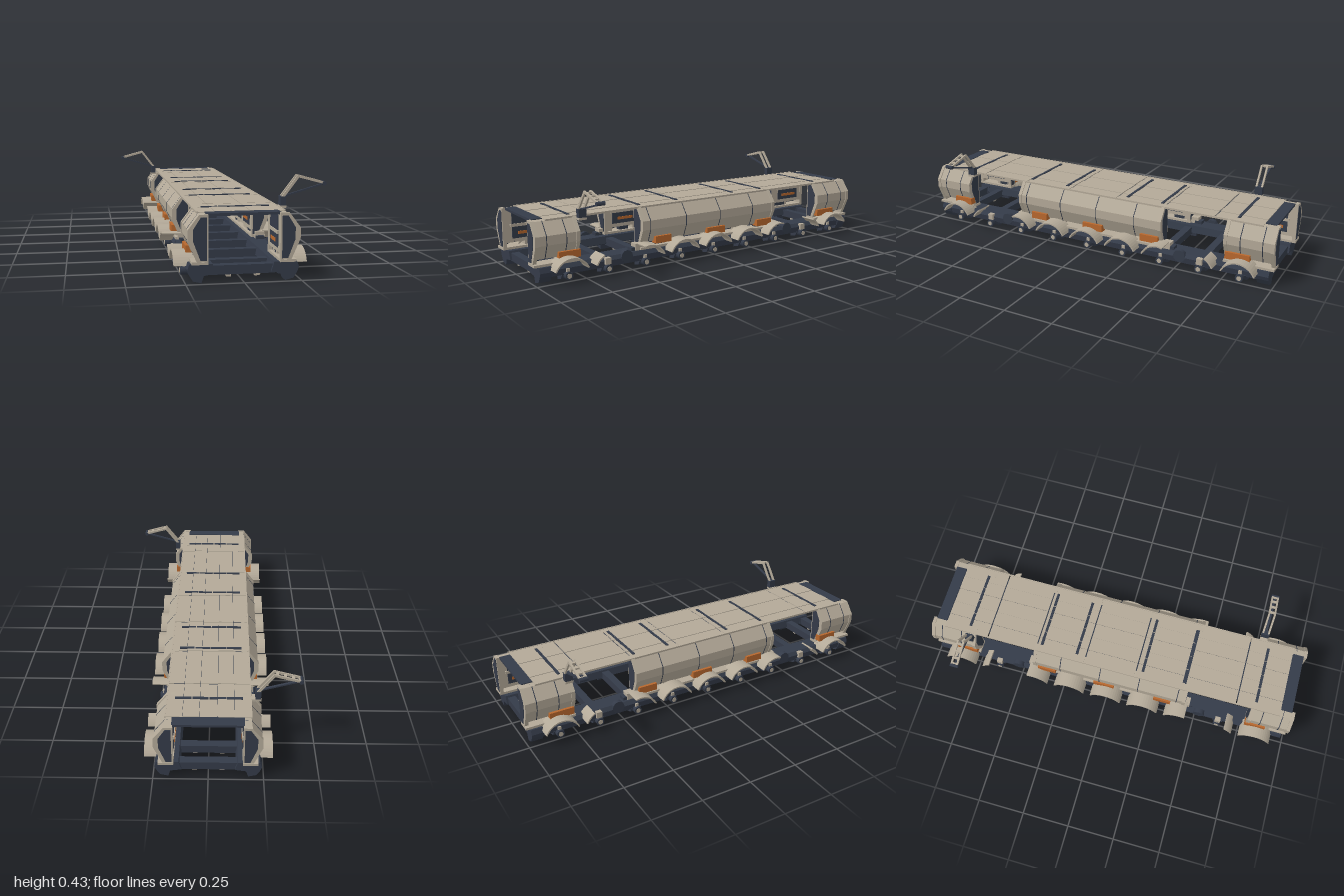
import * as THREE from 'three';

const mat = (name, color) => {
  const m = new THREE.MeshStandardMaterial({ color });
  m.name = name;
  return m;
};

export function createModel() {
  const tan = mat('tan plating', 0xb3a998);
  const dark = mat('dark steel', 0x343b49);
  const orange = mat('orange fittings', 0xb8682e);
  const root = new THREE.Group();
  root.name = 'longCarriage';

  const add = (name, geo, material, parent = root) => {
    const m = new THREE.Mesh(geo, material);
    m.name = name;
    parent.add(m);
    return m;
  };
  // Box from its min and max on each axis
  const box = (name, x0, x1, y0, y1, z0, z1, material, parent) => {
    const g = new THREE.BoxGeometry(Math.abs(x1 - x0), y1 - y0, z1 - z0);
    g.translate((x0 + x1) / 2, (y0 + y1) / 2, (z0 + z1) / 2);
    return add(name, g, material, parent);
  };
  // Outline in x/y, mirrored by s, extruded from z0 to z1
  const prism = (name, pts, s, z0, z1, material, parent) => {
    const shape = new THREE.Shape(pts.map(([x, y]) => new THREE.Vector2(x * s, y)));
    const g = new THREE.ExtrudeGeometry(shape, { depth: z1 - z0, bevelEnabled: false });
    g.translate(0, 0, z0);
    return add(name, g, material, parent);
  };
  // Cylinder along x
  const axle = (name, x, y, z, r, w, material, parent) => {
    const g = new THREE.CylinderGeometry(r, r, w, 12);
    g.rotateZ(Math.PI / 2);
    g.translate(x, y, z);
    return add(name, g, material, parent);
  };
  // Bar between two x/y points
  const strut = (name, a, b, thick, z, depth, material, parent) => {
    const dx = b[0] - a[0], dy = b[1] - a[1];
    const g = new THREE.BoxGeometry(Math.hypot(dx, dy), thick, depth);
    g.rotateZ(Math.atan2(dy, dx));
    g.translate((a[0] + b[0]) / 2, (a[1] + b[1]) / 2, z);
    return add(name, g, material, parent);
  };
  // Curved mudguard around a roller, spanning angles a0..a1
  const fender = (s, z, a0, a1, parent) => {
    const shape = new THREE.Shape();
    shape.absarc(0, 0, 0.095, a0, a1, false);
    shape.absarc(0, 0, 0.088, a1, a0, true);
    const g = new THREE.ExtrudeGeometry(shape, { depth: 0.093, bevelEnabled: false, curveSegments: 8 });
    g.rotateY(-Math.PI / 2);
    g.translate(s > 0 ? 0.293 : -0.2, 0.03, z);
    add('fender', g, tan, parent);
  };

  const podProfile = [[0.157, 0.296], [0.192, 0.294], [0.238, 0.232], [0.238, 0.187], [0.211, 0.12], [0.157, 0.12]];
  const ribProfile = [[0.155, 0.299], [0.194, 0.297], [0.242, 0.234], [0.242, 0.186], [0.203, 0.097], [0.155, 0.097]];
  const capProfile = [[0.162, 0.286], [0.187, 0.286], [0.219, 0.236], [0.219, 0.185], [0.188, 0.103], [0.162, 0.103]];
  const railProfile = [[0.133, 0.084], [0.222, 0.084], [0.236, 0.065], [0.23, 0.034], [0.155, 0.034], [0.125, 0.045]];
  const footProfile = [[0.133, 0.085], [0.233, 0.085], [0.242, 0.06], [0.235, 0.04], [0.218, 0.012], [0.181, 0.003], [0.171, 0.034], [0.12, 0.042]];
  const rollerZ = Array.from({ length: 9 }, (_, i) => (i - 4) * 0.21);
  const pods = [
    { z0: 0.77, z1: 1, seams: [0.84, 0.94] },
    { z0: -0.42, z1: 0.435, seams: [0.385, 0.17, -0.045, -0.265] },
    { z0: -1, z1: -0.745, seams: [-0.83, -0.94] },
  ];
  const orangeZ = [[0.77, 0.88], [0.26, 0.355], [-0.08, 0.035], [-0.4, -0.3], [-0.88, -0.755]];

  for (const s of [1, -1]) {
    const side = new THREE.Group();
    side.name = s > 0 ? 'leftSide' : 'rightSide';
    root.add(side);

    // Faceted side pods with end collars, seam ribs and dark end panels
    for (const { z0, z1, seams } of pods) {
      prism('sidePod', podProfile, s, z0 + 0.01, z1 - 0.01, tan, side);
      prism('podCollar', ribProfile, s, z0 + 0.002, z0 + 0.02, tan, side);
      prism('podCollar', ribProfile, s, z1 - 0.02, z1 - 0.002, tan, side);
      prism('endPanel', capProfile, s, z0, z0 + 0.004, dark, side);
      prism('endPanel', capProfile, s, z1 - 0.004, z1, dark, side);
      const thin = podProfile.map(([x, y]) => [x + (x > 0.2 ? 0.001 : 0), y]);
      for (const z of seams) prism('podSeam', thin, s, z - 0.002, z + 0.002, dark, side);
      box('podSill', s * 0.155, s * 0.225, 0.086, 0.098, z0, z1, tan, side);
      // Inner wall lining
      const n = Math.max(1, Math.round((z1 - z0) / 0.21));
      const w = (z1 - z0 - 0.04) / n;
      for (let i = 0; i < n; i++) {
        const a = z0 + 0.02 + i * w;
        box('innerPanel', s * 0.153, s * 0.158, 0.14, 0.28, a + 0.03, a + w - 0.03, dark, side);
        box('innerShelf', s * 0.149, s * 0.158, 0.2, 0.215, a + 0.02, a + w - 0.02, tan, side);
        box('innerFitting', s * 0.15, s * 0.158, 0.16, 0.175, a + 0.05, a + w - 0.06, orange, side);
      }
    }

    // Orange suspension boxes with posts down to the rail
    for (const [a, b] of orangeZ) {
      box('suspensionBox', s * 0.2, s * 0.236, 0.11, 0.146, a, b, orange, side);
      box('suspensionPost', s * 0.17, s * 0.2, 0.08, 0.125, a + 0.02, b - 0.02, dark, side);
    }

    // Long chassis rail and end feet
    prism('chassisRail', railProfile, s, -0.965, 0.965, dark, side);
    for (const e of [1, -1]) prism('endFoot', footProfile, s, e * 0.95 - 0.03, e * 0.95 + 0.03, dark, side);

    // Rollers and mudguards
    rollerZ.forEach((z, i) => {
      prism('rollerBracket', [[0.175, 0.04], [0.235, 0.04], [0.218, 0.012], [0.181, 0.003]], s, z - 0.028, z + 0.028, dark, side);
      axle('roller', s * 0.238, 0.03, z, 0.02, 0.034, dark, side);
      axle('rollerHub', s * 0.24, 0.03, z, 0.012, 0.034, tan, side);
      box('rollerLink', s * 0.225, s * 0.244, 0.035, 0.065, z - 0.008, z + 0.008, tan, side);
      const e = Math.sign(i - 4), k = Math.abs(i - 4);
      let a0 = 0.42, a1 = Math.PI - 0.42;
      if (k === 2) [a0, a1] = e > 0 ? [1.25, a1] : [a0, Math.PI - 1.25];
      if (k === 3) [a0, a1] = e > 0 ? [a0, 1.1] : [Math.PI - 1.1, a1];
      fender(s, z, a0, a1, side);
      if (k !== 3) box('fenderMount', s * 0.17, s * 0.215, 0.084, 0.118, z - 0.04, z + 0.04, tan, side);
    });

    // Exposed gear in the open bays
    for (const e of [1, -1]) {
      axle('bayWheel', s * 0.224, 0.07, e * 0.52, 0.032, 0.024, dark, side);
      box('bayBracket', s * 0.2, s * 0.248, 0.05, 0.082, e * 0.63 - 0.015, e * 0.63 + 0.015, tan, side);
      box('bayHinge', s * 0.17, s * 0.21, 0.084, 0.1, e * 0.46 - 0.02, e * 0.46 + 0.02, dark, side);
    }

    // Folding arm on the roof edge, at opposite ends on each side
    const arm = new THREE.Group();
    arm.name = 'foldingArm';
    side.add(arm);
    const za = s > 0 ? 0.755 : -0.77;
    const p = (x, y) => [x * s, y];
    box('armMount', s * 0.16, s * 0.238, 0.283, 0.294, za - 0.02, za + 0.02, tan, arm);
    box('armBase', s * 0.211, s * 0.237, 0.294, 0.336, za - 0.02, za + 0.02, dark, arm);
    for (const d of [-0.015, 0.015]) {
      strut('lowerArm', p(0.222, 0.332), p(0.295, 0.428), 0.012, za + d, 0.009, tan, arm);
      strut('upperArm', p(0.291, 0.427), p(0.414, 0.394), 0.011, za + d, 0.009, tan, arm);
    }
    for (const t of [0.1, 0.4, 0.7, 0.95]) {
      const x = 0.295 + 0.119 * t, y = 0.426 - 0.032 * t;
      strut('armRung', p(x - 0.006, y), p(x + 0.006, y), 0.008, za, 0.03, tan, arm);
    }
    strut('armRam', p(0.235, 0.336), p(0.412, 0.387), 0.007, za, 0.012, dark, arm);
    const tip = new THREE.CylinderGeometry(0.01, 0.01, 0.042, 10);
    tip.rotateX(Math.PI / 2);
    tip.translate(s * 0.415, 0.391, za);
    add('armTip', tip, dark, arm);
  }

  // Cross beams of the chassis ladder
  for (const z of [...rollerZ, -0.95, 0.95]) {
    box('crossBeam', -0.14, 0.14, 0.035, 0.075, z - 0.02, z + 0.02, dark);
    for (const s of [1, -1])
      prism('beamBracket', [[0.05, 0.036], [0.08, 0.036], [0.072, 0.024], [0.052, 0.024]], s, z - 0.012, z + 0.012, tan);
  }

  // Roof: dark underside and ribs, tan planks in bays split by seams
  box('roofUnderside', -0.165, 0.165, 0.288, 0.295, -0.98, 0.98, dark);
  for (let i = 0; i <= 18; i++) {
    const z = -0.945 + i * 0.105;
    box('roofRib', -0.157, 0.157, 0.284, 0.289, z - 0.008, z + 0.008, dark);
  }
  const cuts = [-0.925, -0.68, -0.41, -0.14, 0.14, 0.41, 0.69, 0.925];
  const edges = [-0.19, -0.115, -0.04, 0.04, 0.115, 0.19];
  for (let i = 0; i < cuts.length - 1; i++)
    for (let j = 0; j < edges.length - 1; j++)
      box('roofPlank', edges[j] + 0.0007, edges[j + 1] - 0.0007, 0.293, j % 2 ? 0.3 : 0.298, cuts[i] + 0.003, cuts[i + 1] - 0.003, tan);
  for (const s of [1, -1]) {
    box('roofEndPlate', -0.16, 0.16, 0.29, 0.3, s * 0.953 - 0.028, s * 0.953 + 0.028, dark);
    box('roofEdgeTrim', s * 0.188, s * 0.194, 0.29, 0.3, -0.925, 0.925, tan);
  }
  // Dark dashed slots across the roof
  for (const z of [0.79, 0.4, 0.175, -0.19, -0.385, -0.79])
    for (let j = 0; j < 4; j++)
      box('roofSlot', -0.155 + j * 0.078, -0.081 + j * 0.078, 0.297, 0.302, z - 0.007, z + 0.007, dark);

  return root;
}
